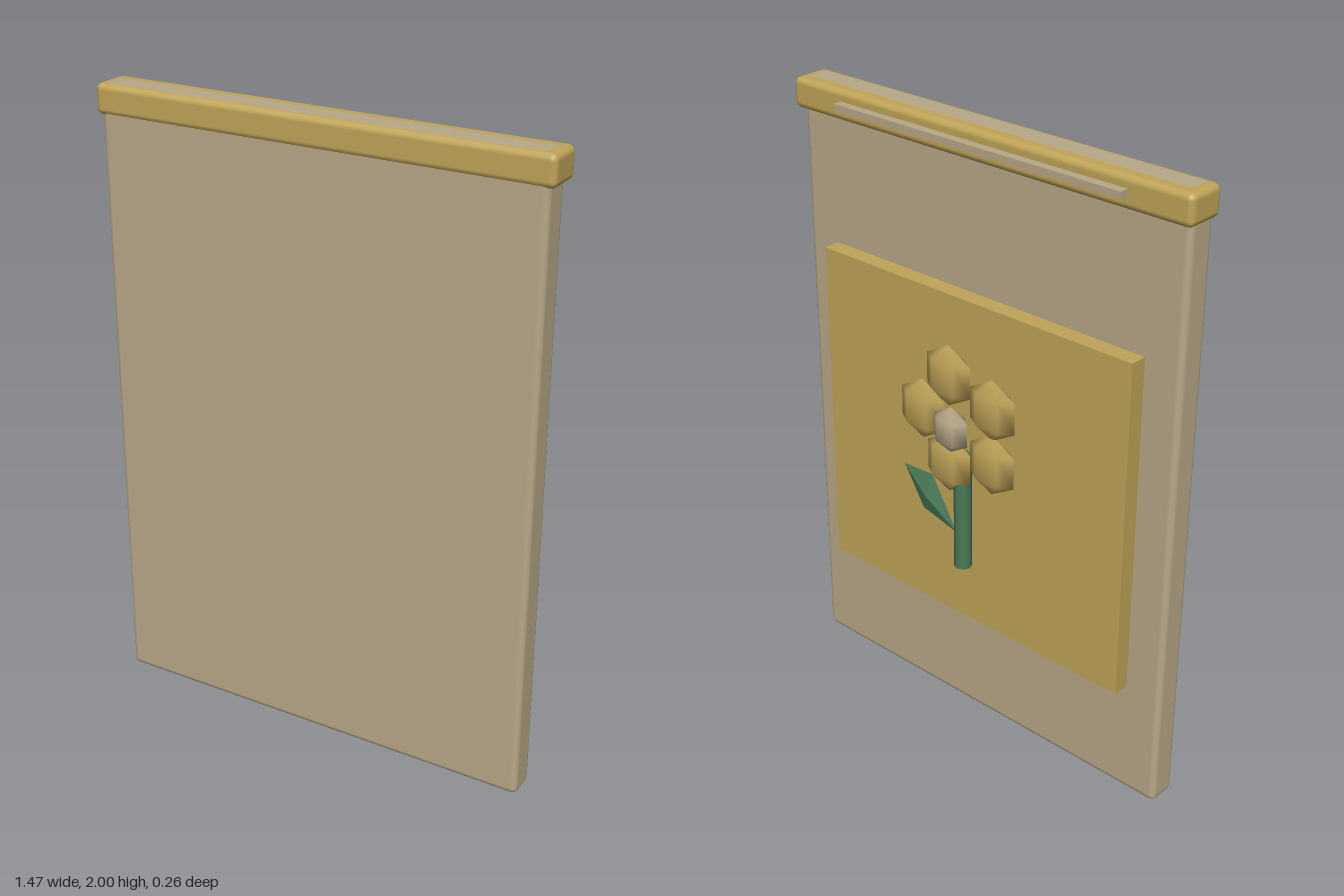
import * as THREE from 'three';
import { RoundedBoxGeometry } from 'three/addons/geometries/RoundedBoxGeometry.js';
import { ConvexGeometry } from 'three/addons/geometries/ConvexGeometry.js';

export function createModel() {
  const model = new THREE.Group();
  model.name = 'flowerPanel';

  const material = (name, color, flatShading = false) => {
    const m = new THREE.MeshStandardMaterial({ color, flatShading });
    m.name = name;
    return m;
  };
  const tan = material('tan', 0xb8a888);
  const gold = material('gold', 0xc0a458);
  const green = material('leafGreen', 0x4a7c59);

  const add = (name, geometry, mat, x, y, z, parent = model) => {
    const mesh = new THREE.Mesh(geometry, mat);
    mesh.name = name;
    mesh.position.set(x, y, z);
    parent.add(mesh);
    return mesh;
  };

  // Tall slab; its top shows as a flush inlay in the cap rail
  add('slab', new RoundedBoxGeometry(1.436, 2, 0.098, 2, 0.02), tan, 0, 1, 0.076);
  add('capRail', new RoundedBoxGeometry(1.47, 0.095, 0.13, 2, 0.02), gold, 0, 1.9515, 0.065);

  // Back rod and raised board
  add('backRod', new THREE.BoxGeometry(1.06, 0.022, 0.03), tan, 0, 1.954, -0.013);
  add('backBoard', new THREE.BoxGeometry(1.19, 1.105, 0.056), gold, 0, 0.9425, 0);

  // Flower on the back: faceted blobs around a centre
  const flower = new THREE.Group();
  flower.name = 'flower';
  model.add(flower);
  const centreY = 1.105;
  const blob = new THREE.SphereGeometry(1, 6, 3);
  for (let i = 0; i < 5; i++) {
    const a = (i * Math.PI * 2) / 5;
    add('petal', blob, gold, 0.155 * Math.cos(a), centreY + 0.155 * Math.sin(a), -0.062, flower)
      .scale.set(0.1, 0.1, 0.036);
  }
  add('flowerCentre', blob, tan, 0, centreY, -0.105, flower).scale.set(0.075, 0.075, 0.04);

  // Stem and diamond leaf
  add('stem', new THREE.CylinderGeometry(0.028, 0.028, 0.4, 8), green, 0, 0.8, -0.053, flower);
  const leafPoints = [
    [0.02, 0.715, -0.06], [0.24, 0.88, -0.06],
    [0.12, 0.885, -0.06], [0.16, 0.75, -0.06],
    [0.135, 0.81, -0.08], [0.135, 0.81, -0.042],
  ].map((p) => new THREE.Vector3(...p));
  add('leaf', new ConvexGeometry(leafPoints), green, 0, 0, 0, flower);

  return model;
}
